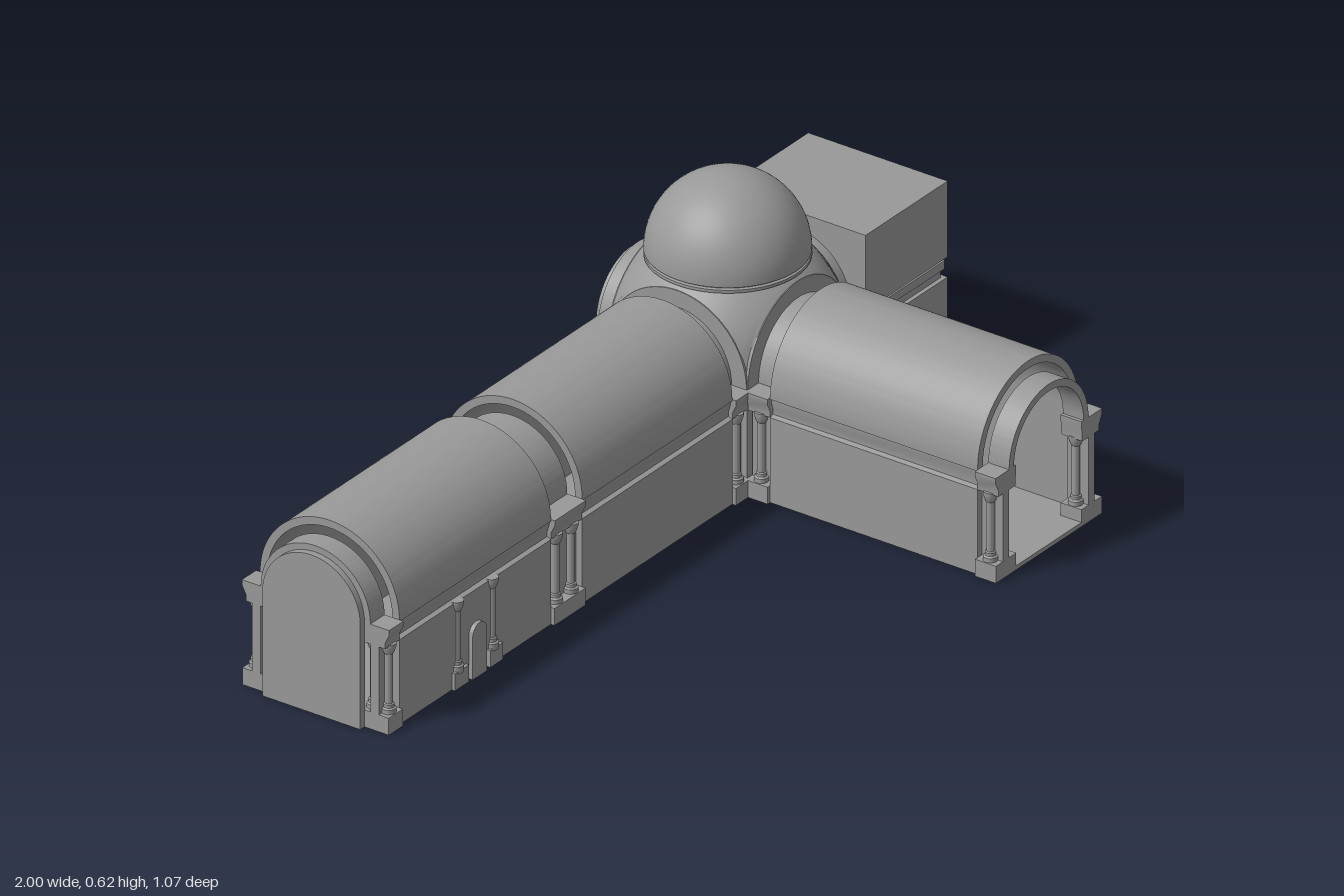
import * as THREE from 'three';
import { toCreasedNormals } from 'three/addons/utils/BufferGeometryUtils.js';

const SPRING = 0.247;   // height where the vaults start
const HALF = 0.178;     // half width of the vaulted bays

export function createModel() {
  const stone = new THREE.MeshStandardMaterial({ color: 0x999999, side: THREE.DoubleSide });
  stone.name = 'grey stone';
  const model = new THREE.Group();
  model.name = 'domedHall';
  const crossing = new THREE.Group();
  crossing.name = 'crossing';
  crossing.position.set(0.47, 0, -0.287);
  model.add(crossing);

  const add = (parent, name, geo, x = 0, y = 0, z = 0) => {
    const m = new THREE.Mesh(geo, stone);
    m.name = name;
    m.position.set(x, y, z);
    parent.add(m);
    return m;
  };
  // box given by its limits
  const box = (parent, name, x0, x1, y0, y1, z0, z1) =>
    add(parent, name, new THREE.BoxGeometry(Math.abs(x1 - x0), y1 - y0, z1 - z0),
      (x0 + x1) / 2, (y0 + y1) / 2, (z0 + z1) / 2);
  // extrusion along z with smooth curves and sharp corners
  const extrude = (parent, name, shape, z0, z1) =>
    add(parent, name, toCreasedNormals(new THREE.ExtrudeGeometry(shape,
      { depth: z1 - z0, bevelEnabled: false, curveSegments: 32 }), 0.5), 0, 0, z0);
  // round-headed outline; "side" lists extra right-hand profile points from bottom to springing
  const arch = (Type, r, y0, spring = SPRING, side = []) => {
    const s = new Type();
    s.moveTo(-r, y0);
    s.lineTo(r, y0);
    side.forEach(([x, y]) => s.lineTo(x, y));
    s.lineTo(r, spring);
    s.absarc(0, spring, r, 0, Math.PI, false);
    [...side].reverse().forEach(([x, y]) => s.lineTo(-x, y));
    s.closePath();
    return s;
  };
  // half ring of an arch
  const archRing = (outer, inner) => {
    const s = new THREE.Shape();
    s.moveTo(outer, SPRING);
    s.absarc(0, SPRING, outer, 0, Math.PI, false);
    s.lineTo(-inner, SPRING);
    s.absarc(0, SPRING, inner, Math.PI, 0, true);
    s.closePath();
    return s;
  };

  // slim column with base and flared capital
  const columnGeo = new THREE.LatheGeometry([
    [0, 0.035], [0.016, 0.035], [0.016, 0.05], [0.012, 0.053], [0.012, 0.06], [0.009, 0.062],
    [0.009, 0.178], [0.011, 0.18], [0.016, 0.195], [0.016, 0.203], [0, 0.203],
  ].map(([x, y]) => new THREE.Vector2(x, y)), 16);
  const column = (parent, x, z) => add(parent, 'column', toCreasedNormals(columnGeo, 0.5), x, 0, z);

  // wide hollow bay: wall, recessed moulding, barrel vault
  const vaultBay = (wing, z0, z1) => {
    const s = arch(THREE.Shape, HALF, 0, SPRING,
      [[HALF, 0.2], [0.168, 0.204], [0.168, 0.215], [0.174, 0.235], [0.174, 0.243], [HALF, 0.243]]);
    s.holes.push(arch(THREE.Path, 0.16, 0.01));
    extrude(wing, 'vaultedBay', s, z0, z1);
  };

  // narrow bay: piers with columns and entablature carrying a lower arch
  const archBay = (wing, z0, z1, count = 1) => {
    extrude(wing, 'transverseArch', archRing(0.14, 0.123), z0, z1);
    box(wing, 'bayFloor', -0.16, 0.16, 0, 0.01, z0, z1);
    for (const side of [-1, 1]) {
      box(wing, 'pierBase', side * 0.115, side * 0.187, 0, 0.04, z0, z1);
      box(wing, 'pierWall', side * 0.14, side * 0.162, 0.04, 0.2, z0, z1);
      const e = new THREE.Shape([[0.118, 0.2], [0.178, 0.2], [0.178, 0.215], [0.188, 0.235],
        [0.188, SPRING], [0.115, SPRING], [0.115, 0.235], [0.118, 0.215]]
        .map(([x, y]) => new THREE.Vector2(side * x, y)));
      extrude(wing, 'entablature', e, z0, z1);
      for (let i = 0; i < count; i++) {
        const z = z0 + (z1 - z0) * (i + 0.5) / count;
        column(wing, side * 0.169, z);
        column(wing, side * 0.132, z);
      }
    }
  };

  const makeWing = (name, angle) => {
    const w = new THREE.Group();
    w.name = name;
    w.rotation.y = angle;
    crossing.add(w);
    return w;
  };

  // front wing, open at its end
  const front = makeWing('frontWing', 0);
  archBay(front, 0.18, 0.237);
  vaultBay(front, 0.237, 0.767);
  archBay(front, 0.767, 0.82);

  // long hall with two vaulted bays and a closed end
  const hall = makeWing('longHall', -Math.PI / 2);
  archBay(hall, 0.178, 0.23);
  vaultBay(hall, 0.23, 0.76);
  archBay(hall, 0.76, 0.87, 2);
  vaultBay(hall, 0.87, 1.405);
  archBay(hall, 1.405, 1.455);
  extrude(hall, 'endWall', arch(THREE.Shape, 0.125, 0), 1.453, 1.47);

  // front doorway: arched leaf between two attached columns
  const leaf = extrude(hall, 'frontDoor', arch(THREE.Shape, 0.025, 0, 0.1), 0, 0.012);
  leaf.rotation.y = Math.PI / 2;
  leaf.position.set(HALF - 0.002, 0, 1.135);
  for (const [z0, z1, zc] of [[1.05, 1.095, 1.075], [1.17, 1.22, 1.198]]) {
    box(hall, 'doorPlinth', 0.165, 0.186, 0, 0.04, z0, z1);
    column(hall, HALF - 0.004, zc);
  }

  // back doorway: projecting porch with an arched opening
  const porch = new THREE.Shape([[-0.042, 0], [0.042, 0], [0.042, 0.13], [-0.042, 0.13]]
    .map(([x, y]) => new THREE.Vector2(x, y)));
  porch.holes.push(arch(THREE.Path, 0.024, 0.008, 0.08));
  const porchMesh = extrude(hall, 'backPorch', porch, 0, 0.04);
  porchMesh.rotation.y = -Math.PI / 2;
  porchMesh.position.set(-HALF + 0.002, 0, 1.138);

  // side wing ending in a plain block with a recessed band
  const side = makeWing('blockWing', Math.PI / 2);
  archBay(side, 0.178, 0.24);
  box(side, 'blockLower', -HALF, HALF, 0, 0.2, 0.24, 0.53);
  box(side, 'blockBand', -0.168, 0.168, 0.2, 0.225, 0.24, 0.518);
  box(side, 'blockMoulding', -0.174, 0.174, 0.22, 0.24, 0.24, 0.525);
  box(side, 'blockNeck', -0.168, 0.168, 0.24, 0.247, 0.24, 0.518);
  box(side, 'blockUpper', -HALF, HALF, 0.247, 0.426, 0.24, 0.53);

  // shallow back niche
  const back = makeWing('backNiche', Math.PI);
  archBay(back, 0.18, 0.23);
  extrude(back, 'nicheWall', arch(THREE.Shape, 0.125, 0), 0.228, 0.246);

  // crossing: floor, corner piers, face arches
  box(crossing, 'crossingFloor', -HALF, HALF, 0, 0.01, -HALF, HALF);
  for (const sx of [-1, 1]) for (const sz of [-1, 1])
    add(crossing, 'cornerPier', new THREE.BoxGeometry(0.05, SPRING, 0.05), sx * 0.153, SPRING / 2, sz * 0.153);
  for (const wing of [front, hall, side, back])
    extrude(wing, 'faceArch', archRing(HALF, 0.123), HALF - 0.012, HALF + 0.002);

  // pendentives: a sphere trimmed to the square plan and the ring of the dome
  const pos = [], idx = [], N = 96, M = 8, R2 = 2 * HALF * HALF;
  for (let i = 0; i <= N; i++) {
    const a = i / N * Math.PI * 2, c = Math.cos(a), s = Math.sin(a);
    const edge = HALF / Math.max(Math.abs(c), Math.abs(s));
    for (let j = 0; j <= M; j++) {
      const r = edge + (0.165 - edge) * j / M;
      pos.push(r * c, SPRING + Math.sqrt(Math.max(0, R2 - r * r)), r * s);
      if (i < N && j < M) {
        const k = i * (M + 1) + j, n = k + M + 1;
        idx.push(k, k + 1, n, n, k + 1, n + 1);
      }
    }
  }
  const pend = new THREE.BufferGeometry();
  pend.setAttribute('position', new THREE.Float32BufferAttribute(pos, 3));
  pend.setIndex(idx);
  pend.computeVertexNormals();
  add(crossing, 'pendentives', pend);

  // drum rings and dome
  const drum = new THREE.LatheGeometry([[0.165, 0.42], [0.17, 0.42], [0.17, 0.432], [0.175, 0.434],
    [0.175, 0.441], [0.169, 0.443], [0.169, 0.447], [0.175, 0.448]]
    .map(([x, y]) => new THREE.Vector2(x, y)), 64);
  add(crossing, 'drum', toCreasedNormals(drum, 0.5));
  add(crossing, 'dome', new THREE.SphereGeometry(0.175, 64, 20, 0, Math.PI * 2, 0, Math.PI / 2), 0, 0.447, 0);

  return model;
}
